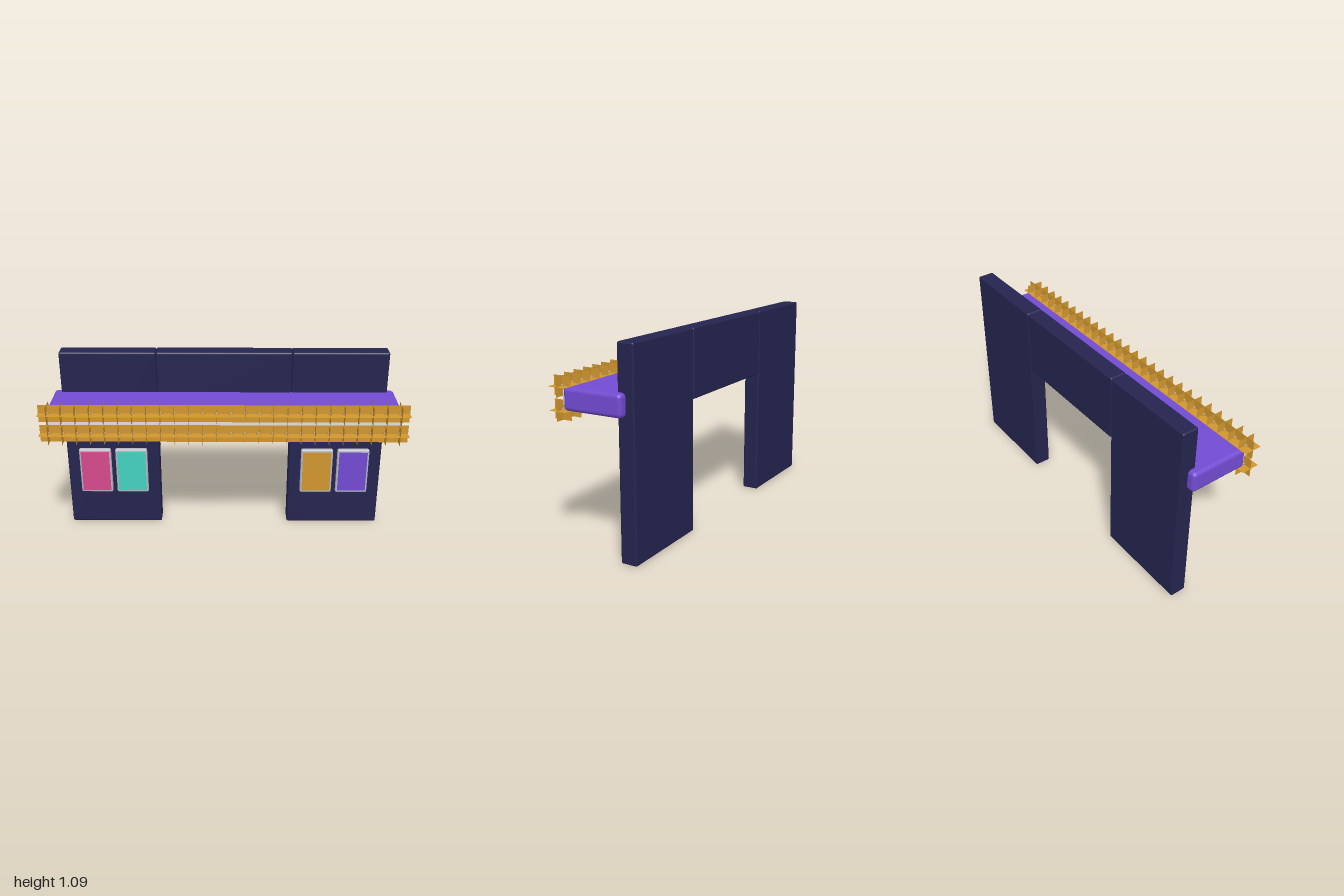
import * as THREE from 'three';
import { RoundedBoxGeometry } from 'three/addons/geometries/RoundedBoxGeometry.js';

const material = (name, color, side = THREE.FrontSide) => {
  const m = new THREE.MeshStandardMaterial({ color, side });
  m.name = name;
  return m;
};

export function createModel() {
  const navy = material('navy', 0x24244f);
  const purple = material('purple', 0x724bd2);
  const gold = material('gold', 0xd0962e, THREE.DoubleSide);
  const silver = material('silver', 0xb8bac4);
  const white = material('off white', 0xdedee2);
  const pink = material('pink', 0xd6498c);
  const teal = material('teal', 0x44d0c0);
  const brass = material('brass', 0xb08c50);

  const model = new THREE.Group();
  model.name = 'marqueeEntrance';

  const add = (name, geometry, mat, x, y, z, parent = model) => {
    const mesh = new THREE.Mesh(geometry, mat);
    mesh.name = name;
    mesh.position.set(x, y, z);
    parent.add(mesh);
    return mesh;
  };
  // Rounded box given by its lower and upper limits
  const block = (name, mat, [x0, x1], [y0, y1], [z0, z1], r) =>
    add(name, new RoundedBoxGeometry(x1 - x0, y1 - y0, z1 - z0, 3, r), mat,
      (x0 + x1) / 2, (y0 + y1) / 2, (z0 + z1) / 2);

  // Wall: two piers and the lintel between them
  const wallZ = [-0.222, -0.129];
  block('rightPier', navy, [-0.927, -0.383], [0, 1.093], wallZ, 0.01);
  block('leftPier', navy, [0.383, 0.927], [0, 1.093], wallZ, 0.01);
  block('lintel', navy, [-0.383, 0.383], [0.72, 1.093], wallZ, 0.01);

  // Canopy and its front trim
  block('canopy', purple, [-0.97, 0.97], [0.738, 0.856], [-0.175, 0.16], 0.022);
  block('canopyTrim', white, [-0.955, 0.955], [0.759, 0.837], [0.15, 0.17], 0.005);

  // Framed posters, two on each pier
  [[-0.76, pink], [-0.547, teal], [0.547, gold], [0.76, purple]].forEach(([x, mat]) => {
    block('posterFrame', silver, [x - 0.094, x + 0.094], [0.218, 0.502], [-0.13, -0.101], 0.01);
    add('poster', new THREE.BoxGeometry(0.166, 0.252, 0.006), mat, x, 0.36, -0.101);
  });

  // Two rows of bulbs, each with three crossed glow plates
  const plate = new THREE.PlaneGeometry(0.1, 0.1);
  const plates = [plate, plate.clone().rotateX(Math.PI / 2), plate.clone().rotateY(Math.PI / 2)];
  const bulb = new THREE.SphereGeometry(0.012, 12, 8);
  const count = 26;
  for (const [row, y] of [['lowerLights', 0.739], ['upperLights', 0.857]]) {
    const lights = new THREE.Group();
    lights.name = row;
    model.add(lights);
    for (let i = 0; i < count; i++) {
      const x = -0.95 + (1.9 * i) / (count - 1);
      add('bulb', bulb, brass, x, y, 0.174, lights);
      plates.forEach((p) => add('glowPlate', p, gold, x, y, 0.174, lights));
    }
  }
  return model;
}
